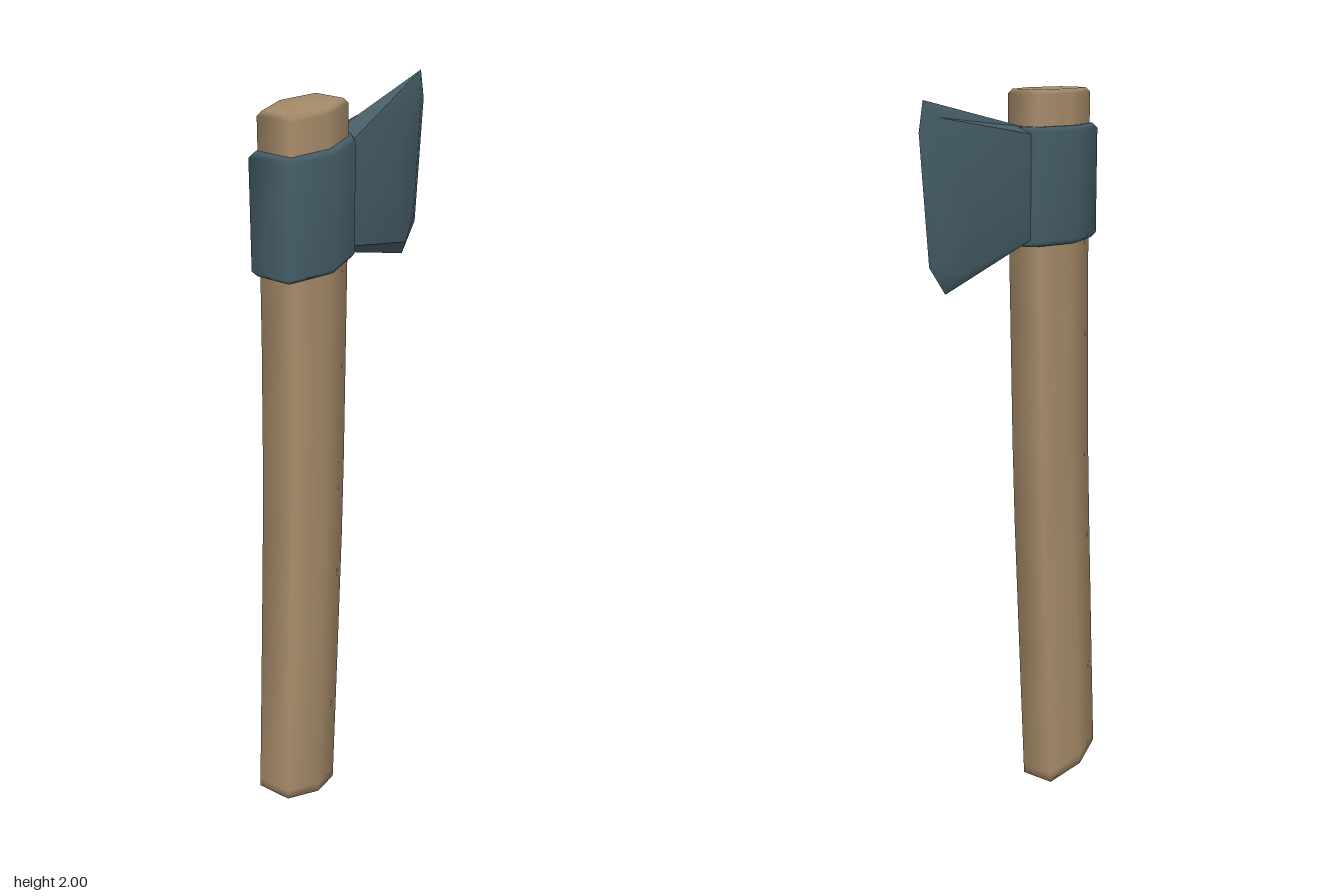
import * as THREE from 'three';
import { toCreasedNormals } from 'three/addons/utils/BufferGeometryUtils.js';

// Skin a stack of equal-length rings of [x, y, z] points and close both ends.
function loft(rings) {
  const n = rings[0].length, last = rings.length - 1;
  const center = ring => [0, 1, 2].map(k => ring.reduce((s, p) => s + p[k], 0) / n);
  const points = [...rings.flat(), center(rings[0]), center(rings[last])];
  const bottom = n * rings.length, top = bottom + 1, index = [];
  for (let j = 0; j < n; j++) {
    const k = (j + 1) % n;
    for (let i = 0; i < last; i++) {
      const a = i * n + j, b = i * n + k;
      index.push(a, b, b + n, a, b + n, a + n);
    }
    index.push(bottom, k, j, top, last * n + j, last * n + k);
  }
  const geometry = new THREE.BufferGeometry();
  geometry.setAttribute('position', new THREE.Float32BufferAttribute(points.flat(), 3));
  geometry.setIndex(index);
  geometry.computeVertexNormals();
  return geometry;
}

// Six-sided handle section between a left and a right height; inset shrinks it.
function handleRing([xl, yl, xr, yr, inset = 0]) {
  const xm = (xl + xr) / 2, ym = (yl + yr) / 2;
  const l = xl + inset, r = xr - inset, e = 0.05 - inset, m = 0.078 - inset;
  return [[l, yl, e], [xm, ym, m], [r, yr, e], [r, yr, -e], [xm, ym, -m], [l, yl, -e]];
}

// Collar section, wrapping the handle and necking down towards the blade.
function collarRing([y, inset]) {
  const half = [[-0.312 + inset, 0.058 - inset], [-0.175, 0.097 - inset],
    [-0.052, 0.065 - inset], [-0.033, 0.048 - inset]];
  return [...half.map(([x, z]) => [x, y, z]),
    ...half.slice().reverse().map(([x, z]) => [x, y, -z])];
}

export function createModel() {
  const wood = new THREE.MeshStandardMaterial({ color: 0xa58a69 });
  wood.name = 'wood';
  const steel = new THREE.MeshStandardMaterial({ color: 0x455d68 });
  steel.name = 'blue steel';
  const group = new THREE.Group();
  group.name = 'axe';
  const add = (name, geometry, material) => {
    const mesh = new THREE.Mesh(geometry, material);
    mesh.name = name;
    group.add(mesh);
  };

  // Handle: curved shaft with a slanted foot and a softly bevelled top
  add('handle', loft([
    [-0.35, 0.06, -0.137, 0.003],
    [-0.349, 0.085, -0.135, 0.03],
    [-0.331, 0.42, -0.113, 0.4],
    [-0.311, 0.8, -0.09, 0.8],
    [-0.3, 1.04, -0.08, 1.04],
    [-0.291, 1.4, -0.07, 1.4],
    [-0.288, 1.65, -0.063, 1.65],
    [-0.287, 1.988, -0.06, 1.988],
    [-0.287, 2, -0.06, 2, 0.008],
  ].map(handleRing)), wood);

  // Collar around the handle, with bevelled rims
  add('collar', loft([[1.597, 0.01], [1.61, 0], [1.893, 0], [1.906, 0.01]].map(collarRing)), steel);

  // Blade: outer edge in the middle plane, a tapering cheek on each side
  const edge = [[-0.06, 1.6], [0.255, 1.505], [0.315, 1.58], [0.346, 1.91], [0.33, 1.987], [-0.06, 1.905]];
  const cheek = [[-0.06, 1.625], [0.235, 1.548], [0.275, 1.61], [0.305, 1.91], [0.296, 1.945], [-0.06, 1.885]];
  const cheekRing = side => cheek.map(([x, y]) => [x, y, side * (0.045 - 0.084 * x)]);
  add('blade', toCreasedNormals(loft([
    cheekRing(-1), edge.map(([x, y]) => [x, y, 0]), cheekRing(1),
  ]), 0.6), steel);

  return group;
}
